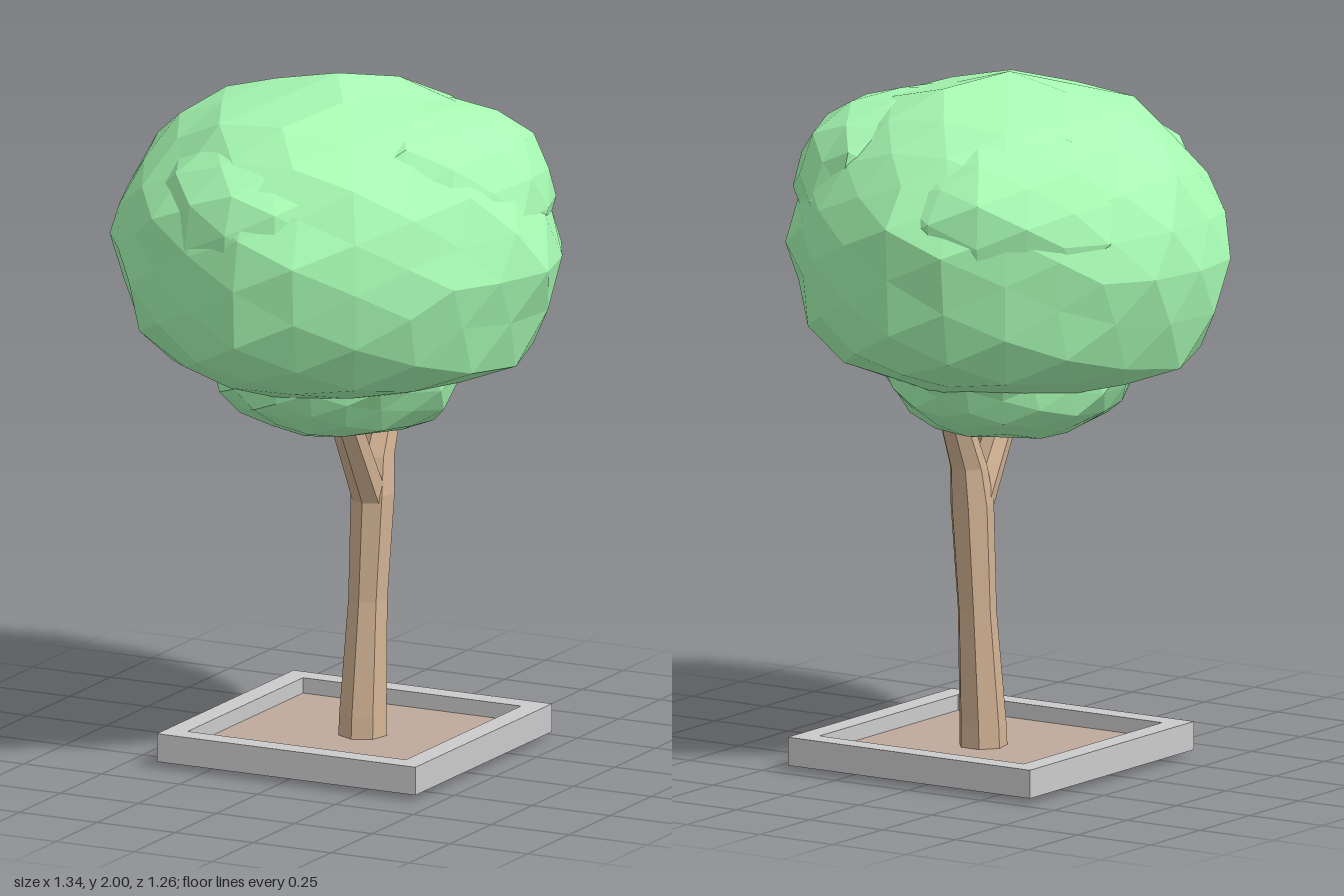
import * as THREE from 'three';

const material = (color) => new THREE.MeshStandardMaterial({ color, flatShading: true });

// Faceted open-ended limb lofted through horizontal rings: [x, y, z, radius]
function limb(rings, sides = 7) {
  const pos = [], index = [];
  for (const [x, y, z, r] of rings) {
    for (let i = 0; i < sides; i++) {
      const a = (i / sides) * Math.PI * 2;
      pos.push(x + r * Math.sin(a), y, z + r * Math.cos(a));
    }
  }
  for (let k = 0; k < rings.length - 1; k++) {
    for (let i = 0; i < sides; i++) {
      const a = k * sides + i, b = k * sides + (i + 1) % sides;
      index.push(a, b, b + sides, a, b + sides, a + sides);
    }
  }
  const g = new THREE.BufferGeometry();
  g.setAttribute('position', new THREE.Float32BufferAttribute(pos, 3));
  g.setIndex(index);
  const flat = g.toNonIndexed();
  flat.computeVertexNormals();
  return flat;
}

// Lumpy faceted ellipsoid with its own lower height; its diagonals are drawn in
// a little, and below `floor` it flattens to a shallow cone
function leafBlob([rx, ryTop, rz], ryBottom, floor, detail, seed, bump) {
  const g = new THREE.IcosahedronGeometry(1, detail);
  const p = g.attributes.position, v = new THREE.Vector3();
  for (let i = 0; i < p.count; i++) {
    v.fromBufferAttribute(p, i);
    const n = Math.sin(v.x * 11 + seed) * Math.cos(v.y * 10 + seed * 2.1)
      + 0.8 * Math.sin(v.z * 11.5 + v.x * 5 - v.y * 6 + seed * 1.7);
    v.multiplyScalar(1 + bump * n - 0.28 * (v.x * v.z) ** 2);
    if (v.y < floor) v.y = floor + (v.y - floor) * 0.45;
    p.setXYZ(i, v.x * rx, v.y * (v.y > 0 ? ryTop : ryBottom), v.z * rz);
  }
  g.computeVertexNormals();
  return g;
}

export function createModel() {
  const model = new THREE.Group();
  const add = (name, geometry, mat, parent = model) => {
    const mesh = new THREE.Mesh(geometry, mat);
    mesh.name = name;
    parent.add(mesh);
    return mesh;
  };

  // Square planter: rim with a hole, and soil filling it
  const planter = new THREE.Group();
  planter.name = 'planter';
  planter.position.set(0.018, 0.02, -0.055);
  model.add(planter);
  const stone = material(0xcccccc);
  const square = (Type, h) => new Type([[-h, -h], [h, -h], [h, h], [-h, h]].map(([x, y]) => new THREE.Vector2(x, y)));
  const rimShape = square(THREE.Shape, 0.415);
  rimShape.holes.push(square(THREE.Path, 0.35));
  const rim = new THREE.ExtrudeGeometry(rimShape, { depth: 0.082, bevelEnabled: false });
  rim.rotateX(-Math.PI / 2);
  add('planterRim', rim, stone, planter);
  add('planterBase', new THREE.BoxGeometry(0.71, 0.01, 0.71), stone, planter).position.y = 0.005;
  add('soil', new THREE.BoxGeometry(0.7, 0.03, 0.7), material(0xbfaa9c), planter).position.y = 0.022;

  // Trunk bending backward, with a fork toward the front
  const bark = material(0xd2b394);
  add('trunk', limb([
    [0.038, 0.003, -0.066, 0.072],
    [0.038, 0.12, -0.07, 0.069],
    [0.042, 0.45, -0.092, 0.057],
    [0.052, 0.76, -0.103, 0.064],
    [0.052, 0.87, -0.12, 0.055],
    [0.055, 1.04, -0.192, 0.047],
    [0.06, 1.16, -0.23, 0.035],
  ]), bark);
  add('frontBranch', limb([
    [0.052, 0.74, -0.092, 0.054],
    [0.048, 0.87, -0.022, 0.05],
    [0.045, 1.0, 0.05, 0.046],
    [0.04, 1.12, 0.11, 0.035],
  ]), bark);

  // Crown: broad main mass, overlapping lumps and a small lower skirt
  const leaves = material(0xa8fcb4);
  const crown = new THREE.Group();
  crown.name = 'crown';
  model.add(crown);
  // name, centre, radii, lower height, floor, detail, seed, bump
  const blobs = [
    ['crownMain', [-0.008, 1.5, 0], [0.665, 0.487, 0.635], 0.545, -0.53, 3, 1.3, 0.022],
    ['crownFront', [-0.05, 1.59, 0.21], [0.42, 0.32, 0.41], 0.25, -0.9, 2, 4.1, 0.03],
    ['crownBack', [-0.13, 1.61, -0.2], [0.42, 0.3, 0.4], 0.3, -0.9, 2, 2.2, 0.03],
    ['crownLeft', [0.26, 1.65, -0.05], [0.36, 0.29, 0.42], 0.3, -0.9, 2, 5.3, 0.03],
    ['crownLower', [-0.01, 1.19, -0.01], [0.385, 0.1, 0.385], 0.25, -0.82, 3, 0.6, 0.035],
  ];
  for (const [name, at, ...shape] of blobs) {
    add(name, leafBlob(...shape), leaves, crown).position.set(...at);
  }
  return model;
}
